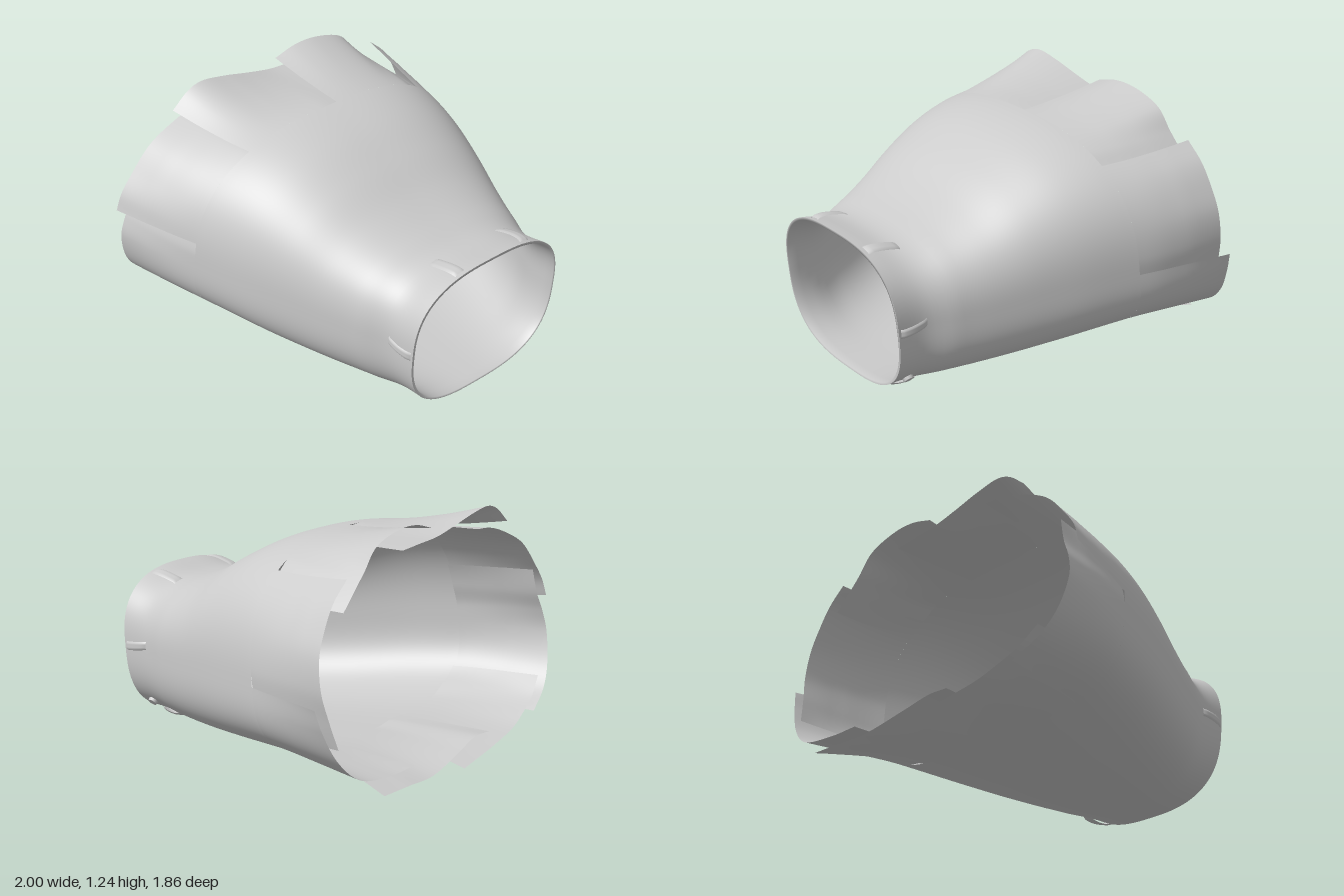
import * as THREE from 'three';

const material = new THREE.MeshStandardMaterial({ color: 0xcccccc, side: THREE.DoubleSide });

// Cross-sections along the garment: z, half width, top, bottom, height of widest point
const SECTIONS = [
  [0.95, 0.486, 0.808, 0.015, 0.42],
  [0.75, 0.49, 0.775, 0.013, 0.42],
  [0.6, 0.55, 0.805, 0.012, 0.43],
  [0.4, 0.625, 0.885, 0.018, 0.45],
  [0.2, 0.70, 1.0, 0.03, 0.48],
  [0, 0.77, 1.095, 0.05, 0.5],
  [-0.2, 0.83, 1.145, 0.07, 0.52],
  [-0.4, 0.885, 1.155, 0.09, 0.53],
  [-0.6, 0.925, 1.165, 0.1, 0.54],
  [-0.95, 0.97, 1.19, 0.115, 0.55],
];

// Hem edge of each panel (x, y): starts tucked under its neighbour, ends flared outside
const PANELS = [
  [[0.88, 0.32], [0.91, 0.45], [0.94, 0.6], [0.93, 0.75], [0.88, 0.87], [0.81, 0.98], [0.71, 1.07]],
  [[0.74, 0.92], [0.65, 1.01], [0.58, 1.08], [0.49, 1.18], [0.31, 1.235], [0.17, 1.235], [0.04, 1.2]],
  [[0.28, 1.13], [0.14, 1.14], [0, 1.15], [-0.15, 1.18], [-0.3, 1.215], [-0.45, 1.235], [-0.53, 1.21], [-0.63, 1.13]],
  [[-0.36, 1.13], [-0.47, 1.12], [-0.6, 1.08], [-0.78, 0.99], [-0.9, 0.86], [-0.97, 0.76], [-1, 0.67]],
  [[-0.88, 0.83], [-0.91, 0.7], [-0.95, 0.6], [-0.97, 0.49], [-0.93, 0.32], [-0.85, 0.21], [-0.71, 0.12]],
  [[-0.82, 0.28], [-0.72, 0.19], [-0.6, 0.13], [-0.5, 0.09], [-0.3, 0.05], [-0.02, 0.0]],
  [[-0.28, 0.12], [-0.16, 0.125], [0, 0.09], [0.25, 0.04], [0.45, 0.045], [0.64, 0.05]],
  [[0.37, 0.12], [0.55, 0.12], [0.78, 0.16], [0.9, 0.27], [0.97, 0.42], [1, 0.53]],
];

const { lerp, clamp, smoothstep } = THREE.MathUtils;

// Smoothly interpolated section at z
function section(z) {
  const last = SECTIONS.length - 1;
  let i = 0;
  while (i < last - 1 && z < SECTIONS[i + 1][0]) i++;
  const at = (k) => SECTIONS[clamp(k, 0, last)];
  const t = clamp((z - at(i)[0]) / (at(i + 1)[0] - at(i)[0]), 0, 1);
  const mix = (c) => {
    const [a, b, d, e] = [at(i - 1)[c], at(i)[c], at(i + 1)[c], at(i + 2)[c]];
    return b + 0.5 * t * (d - a + t * (2 * a - 5 * b + 4 * d - e + t * (3 * (b - d) + e - a)));
  };
  return { w: mix(1), top: mix(2), bottom: mix(3), mid: mix(4) };
}

// Point on the body: a rounded oval, flatter underneath; out pushes it off the surface
function bodyPoint(z, angle, out = 0) {
  const s = section(z), c = Math.cos(angle), n = Math.sin(angle);
  const hem = clamp((0.9 - z) / 1.7, 0, 1);
  const e = n > 0 ? lerp(2.7, 2.45, hem) : lerp(2.7, 3.2, hem);
  const k = (Math.abs(c) ** e + Math.abs(n) ** e) ** (-1 / e);
  const h = n > 0 ? s.top - s.mid : s.mid - s.bottom;
  // The waist sits slightly to the left
  const shift = 0.01 * smoothstep(z, 0, 0.8);
  return new THREE.Vector3(shift + (s.w + out) * c * k, s.mid + (h + out) * n * k, z);
}

const waistZ = (a) => 0.9 + 0.035 * Math.sin(a);
const slitZ = (a) => -0.305 + 0.06 * Math.sin(a);
const hemZ = (y) => -0.75 - 0.178 * clamp((1.22 - y) / 1.18, 0, 1) ** 2.5;

// Surface from a rule of u and v, optionally closed around u
function surface(name, nu, nv, rule, closed = false) {
  const positions = [], index = [];
  const cols = closed ? nu : nu + 1;
  for (let j = 0; j <= nv; j++)
    for (let i = 0; i < cols; i++) positions.push(...rule(i / nu, j / nv).toArray());
  for (let j = 0; j < nv; j++)
    for (let i = 0; i < nu; i++) {
      const a = j * cols + i, b = j * cols + ((i + 1) % cols);
      index.push(a, a + cols, b, b, a + cols, b + cols);
    }
  const geometry = new THREE.BufferGeometry();
  geometry.setAttribute('position', new THREE.Float32BufferAttribute(positions, 3));
  geometry.setIndex(index);
  geometry.computeVertexNormals();
  const mesh = new THREE.Mesh(geometry, material);
  mesh.name = name;
  return mesh;
}

// Hem panel: leaves the body at the slit line and eases out to its own hem edge
function hemPanel(points) {
  const edge = new THREE.CatmullRomCurve3(points.map(([x, y]) => new THREE.Vector3(x, y, hemZ(y))), false, 'centripetal');
  return surface('hemPanel', 48, 12, (u, v) => {
    const end = edge.getPoint(u);
    const s = section(end.z);
    const dy = end.y - s.mid;
    const angle = Math.atan2(dy / (dy > 0 ? s.top - s.mid : s.mid - s.bottom), end.x / s.w);
    const tuck = -0.014 * (1 - smoothstep(u, 0.15, 0.35)) * (1 - v);
    const p = bodyPoint(lerp(slitZ(angle), end.z, v), angle, tuck);
    return p.addScaledVector(end.sub(bodyPoint(end.z, angle)), v ** 1.3);
  });
}

// Belt loop: a narrow strap bowed off the waist, with short return edges
function beltLoop(angle, z0, z1, tilt = 0) {
  return surface('beltLoop', 6, 12, (u, v) => {
    const bow = 0.004 + 0.02 * Math.sin(Math.PI * v) ** 0.6;
    const rim = u === 0 || u === 1 ? -0.006 : 0;
    return bodyPoint(lerp(z0, z1, v), angle + (u - 0.5) * 0.12 + tilt * (v - 0.5), bow + rim);
  });
}

export function createModel() {
  const model = new THREE.Group();
  model.name = 'skirt';
  const turn = Math.PI * 2;

  model.add(surface('skirtBody', 160, 36, (u, v) =>
    bodyPoint(lerp(waistZ(u * turn), slitZ(u * turn), v), u * turn), true));

  // Lining: rolls in over the waist edge and thins out towards the slits
  model.add(surface('lining', 160, 24, (u, v) => {
    const depth = Math.min(1, v * 24) * (1 - v) * 0.013;
    return bodyPoint(lerp(waistZ(u * turn), slitZ(u * turn), Math.max(0, v - 1 / 24) * 24 / 23), u * turn, -depth);
  }, true));

  const hem = new THREE.Group();
  hem.name = 'hem';
  PANELS.forEach((points) => hem.add(hemPanel(points)));
  model.add(hem);

  // Loops on top, at the sides and one underneath
  const loops = new THREE.Group();
  loops.name = 'beltLoops';
  for (const a of [1.09, 1.97]) loops.add(beltLoop(a, 0.91, 0.73));
  loops.add(beltLoop(0.05, 0.89, 0.74, 0.06));
  loops.add(beltLoop(Math.PI - 0.05, 0.89, 0.74, -0.06));
  loops.add(beltLoop(-1.05, 0.83, 0.67));
  model.add(loops);

  // Small flat button low on the left side of the waist
  const button = new THREE.Mesh(new THREE.CylinderGeometry(0.024, 0.028, 0.016, 20).rotateX(Math.PI / 2), material);
  button.name = 'button';
  button.position.copy(bodyPoint(0.79, -0.74, 0.008));
  button.lookAt(bodyPoint(0.79, -0.74, 0.2));
  model.add(button);

  return model;
}
